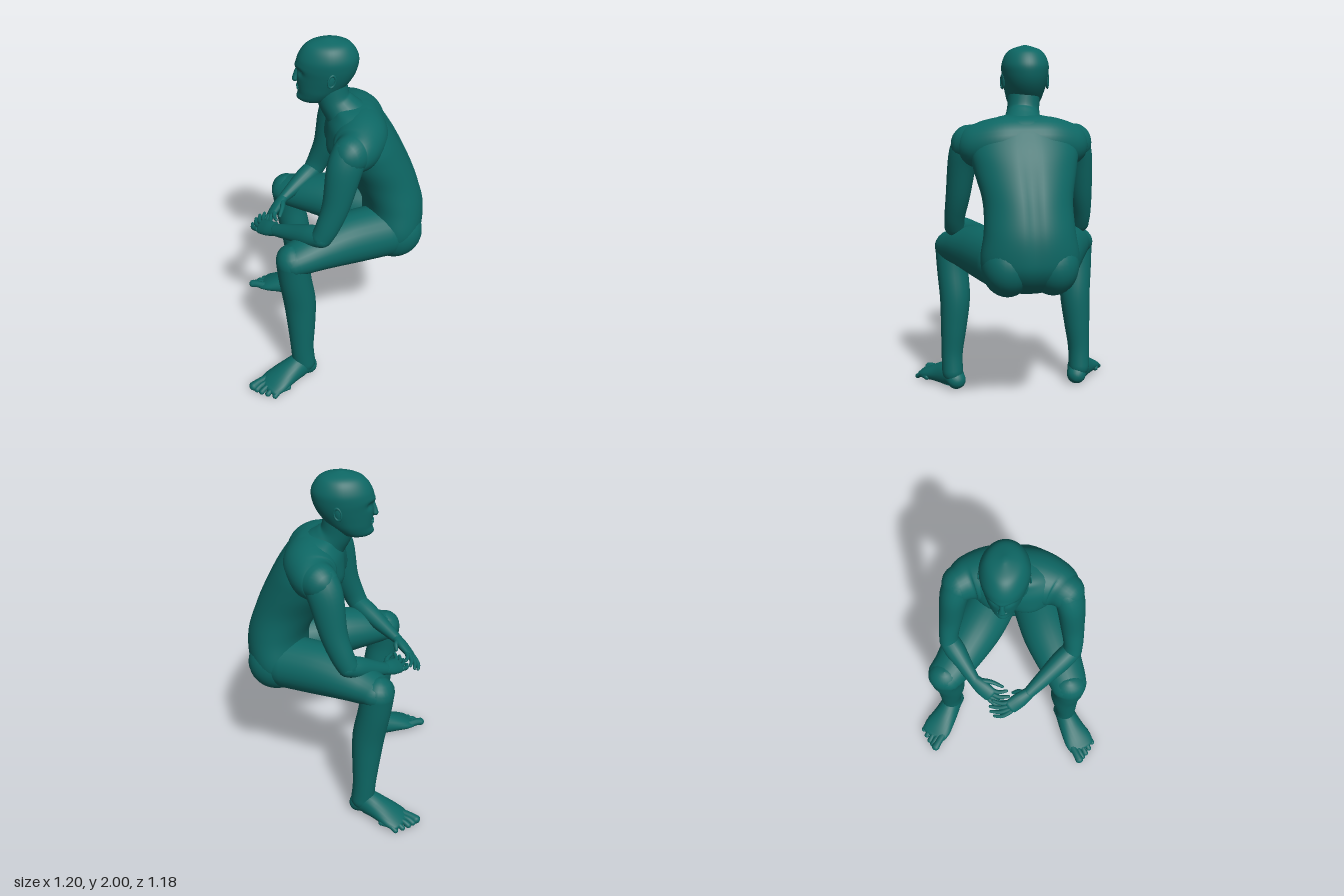
import * as THREE from 'three';

const skin = new THREE.MeshStandardMaterial({ color: 0x0d6764 });
const V = (x, y, z) => new THREE.Vector3(x, y, z);
const gauss = (d, w) => Math.exp(-(d * d) / (w * w));

// Closed skin over rings of points (counter-clockwise about the direction of travel)
function skinRings(rings) {
  const n = rings[0].length, pos = [], idx = [];
  rings.forEach(r => r.forEach(p => pos.push(p.x, p.y, p.z)));
  for (let i = 0; i < rings.length - 1; i++) {
    for (let j = 0; j < n; j++) {
      const a = i * n + j, b = i * n + (j + 1) % n;
      idx.push(a, b, a + n, b, b + n, a + n);
    }
  }
  [0, rings.length - 1].forEach((k, end) => {
    const c = rings[k].reduce((s, p) => s.add(p), V(0, 0, 0)).divideScalar(n);
    const ci = pos.length / 3;
    pos.push(c.x, c.y, c.z);
    for (let j = 0; j < n; j++) {
      const a = k * n + j, b = k * n + (j + 1) % n;
      end ? idx.push(a, b, ci) : idx.push(b, a, ci);
    }
  });
  const g = new THREE.BufferGeometry();
  g.setAttribute('position', new THREE.Float32BufferAttribute(pos, 3));
  g.setIndex(idx);
  g.computeVertexNormals();
  return g;
}

// Smooth interpolation of rows of numbers
function sample(rows, t) {
  const f = t * (rows.length - 1), i = Math.min(Math.floor(f), rows.length - 2), u = f - i;
  const row = k => rows[Math.max(0, Math.min(rows.length - 1, k))];
  return rows[0].map((_, c) => {
    const [a, b, d, e] = [row(i - 1)[c], row(i)[c], row(i + 1)[c], row(i + 2)[c]];
    return b + 0.5 * u * (d - a + u * (2 * a - 5 * b + 4 * d - e + u * (3 * (b - d) + e - a)));
  });
}

// Round-ended limb through rows [x, y, z, half width along side, half thickness]
function limb(rows, side = V(1, 0, 0), n = 20, steps = 6) {
  const count = (rows.length - 1) * steps, rings = [];
  const ring = (c, t, a, b) => {
    const u = side.clone().addScaledVector(t, -side.dot(t)).normalize();
    const v = t.clone().cross(u);
    rings.push(Array.from({ length: n }, (_, j) => {
      const f = j / n * Math.PI * 2;
      return c.clone().addScaledVector(u, a * Math.cos(f)).addScaledVector(v, b * Math.sin(f));
    }));
  };
  for (let i = 0; i <= count; i++) {
    const s = sample(rows, i / count), c = V(s[0], s[1], s[2]);
    const p = sample(rows, Math.max(0, i - 0.5) / count), q = sample(rows, Math.min(count, i + 0.5) / count);
    const t = V(q[0] - p[0], q[1] - p[1], q[2] - p[2]).normalize();
    const cap = (k, sign) => {
      const h = k * Math.PI / 10, r = Math.min(s[3], s[4]);
      ring(c.clone().addScaledVector(t, sign * r * Math.sin(h)), t, s[3] * Math.cos(h) + 1e-4, s[4] * Math.cos(h) + 1e-4);
    };
    if (i === 0) for (let k = 5; k > 0; k--) cap(k, -1);
    ring(c, t, s[3], s[4]);
    if (i === count) for (let k = 1; k <= 5; k++) cap(k, 1);
  }
  return skinRings(rings);
}

// Upright body from rows [y, centre z, half width, half depth], with a shaping rule
function upright(rows, n, count, shape) {
  return skinRings(Array.from({ length: count + 1 }, (_, i) => {
    const [y, c, w, d] = sample(rows, i / count);
    return Array.from({ length: n }, (_, j) => {
      const f = j / n * Math.PI * 2;
      const p = V(w * Math.cos(f), y, c - d * Math.sin(f));
      shape(p, -Math.sin(f));
      return p;
    });
  }));
}

function add(parent, name, geometry) {
  const m = new THREE.Mesh(geometry, skin);
  m.name = name;
  parent.add(m);
  return m;
}

function ball(parent, name, p, s) {
  const m = add(parent, name, new THREE.SphereGeometry(1, 28, 20));
  m.position.set(...p);
  m.scale.set(...s);
}

function addHead(body) {
  const head = new THREE.Group();
  head.name = 'head';
  head.position.x = -0.033;
  body.add(head);
  add(head, 'skull', upright([
    [1.638, -0.045, 0.03, 0.04], [1.655, -0.06, 0.066, 0.085], [1.70, -0.085, 0.093, 0.115],
    [1.75, -0.105, 0.108, 0.14], [1.80, -0.119, 0.12, 0.157], [1.85, -0.125, 0.128, 0.167],
    [1.90, -0.13, 0.128, 0.163], [1.95, -0.132, 0.108, 0.135], [1.98, -0.134, 0.074, 0.095], [2.0, -0.135, 0.01, 0.015]
  ], 48, 54, (p, front) => {
    if (front <= 0) return;
    p.x *= 1 - 0.1 * front;
    p.z -= 0.016 * gauss(Math.abs(p.x) - 0.04, 0.024) * gauss(p.y - 1.825, 0.02); // eye sockets
    p.z += 0.006 * gauss(p.x, 0.06) * gauss(p.y - 1.852, 0.014); // brow
    p.z += 0.01 * gauss(p.x, 0.03) * gauss(p.y - 1.67, 0.02); // chin
  }));
  add(head, 'nose', limb([[0, 1.835, 0.03, 0.011, 0.011], [0, 1.80, 0.04, 0.013, 0.014], [0, 1.772, 0.046, 0.02, 0.016]], V(1, 0, 0), 14));
  ball(head, 'upperLip', [0, 1.731, 0.028], [0.028, 0.008, 0.012]);
  ball(head, 'lowerLip', [0, 1.717, 0.026], [0.024, 0.008, 0.012]);
  for (const s of [1, -1]) {
    ball(head, 'eye', [s * 0.04, 1.825, 0], [0.017, 0.013, 0.015]);
    const ear = new THREE.Group();
    ear.name = 'ear';
    ear.position.set(s * 0.121, 1.805, -0.14);
    ear.rotation.set(-0.15, s * 0.3, 0);
    head.add(ear);
    ball(ear, 'earBowl', [0, 0, 0], [0.008, 0.036, 0.021]);
    const rim = add(ear, 'earRim', new THREE.TorusGeometry(0.021, 0.005, 8, 24));
    rim.rotation.y = Math.PI / 2;
    rim.scale.y = 1.6;
    rim.position.x = s * 0.005;
  }
}

// Leg; out and fore shift the shin and foot, knee brings the knee forward, turn swings the foot
function addLeg(body, s, side, out, fore, knee, turn) {
  const P = rows => rows.map(([x, ...r]) => [s * x, ...r]);
  const shin = [
    [0.358, 0.85, 0.075, 0.1, 0.092], [0.36, 0.72, 0.063, 0.091, 0.092], [0.35, 0.55, 0.039, 0.088, 0.092],
    [0.36, 0.38, 0.032, 0.076, 0.08], [0.372, 0.22, 0.03, 0.063, 0.067], [0.372, 0.1, 0.02, 0.062, 0.068]
  ].map(([x, y, z, a, b], i) => [x + out, y, z + fore + knee * Math.max(0, 1 - i / 4), a, b]);
  add(body, side + 'Thigh', limb(P([
    [0.125, 0.875, -0.45, 0.155, 0.155], [0.2, 0.88, -0.25, 0.152, 0.148], [0.27, 0.875, -0.1, 0.138, 0.125],
    [0.33, 0.86, 0.02, 0.118, 0.1], [shin[0][0], 0.85, shin[0][2], 0.106, 0.086]]), V(1, 0, 0), 28));
  add(body, side + 'LowerLeg', limb(P(shin), V(1, 0, 0), 24));

  const foot = new THREE.Group();
  foot.name = side + 'Foot';
  foot.position.set(s * (0.36 + out), 0, fore);
  foot.rotation.y = turn;
  body.add(foot);
  const across = V(s * 0.83, 0, -0.55);
  add(foot, 'footBody', limb(P([
    [-0.008, 0.055, -0.005, 0.056, 0.053], [0.018, 0.08, 0.04, 0.064, 0.078], [0.062, 0.065, 0.115, 0.078, 0.063],
    [0.112, 0.043, 0.19, 0.092, 0.041], [0.142, 0.028, 0.235, 0.085, 0.025]]), across, 24));
  for (let i = 0; i < 5; i++) {
    const k = i / 4, r = i ? 0.02 - 0.001 * i : 0.027;
    const x = 0.132 + 0.078 * k, z = 0.325 - 0.125 * k + 0.015 * Math.sin(k * Math.PI);
    add(foot, 'toe', limb(P([
      [x - 0.05, 0.034, z - 0.08, r, r], [x - 0.02, 0.034, z - 0.03, r * 0.85, r * 0.85], [x, r, z, r, r * 0.9]]), across, 12, 4));
  }
}

function addArm(body, s, side, wrist, knuckle, tip, thumbTip) {
  const W = V(...wrist), K = V(...knuckle), T = V(...tip);
  const up = V(0, 0.66, -0.75); // from little finger towards the thumb
  const elbow = V(s * 0.358, 1.0, -0.078), at = k => elbow.clone().lerp(W, k).toArray();
  add(body, side + 'UpperArm', limb([
    [s * 0.288, 1.485, -0.228, 0.085, 0.098], [s * 0.318, 1.40, -0.195, 0.08, 0.097], [s * 0.342, 1.2, -0.155, 0.068, 0.077],
    [s * 0.358, 1.07, -0.11, 0.058, 0.066], [...elbow.toArray(), 0.056, 0.06]], V(1, 0, 0), 24));
  add(body, side + 'Forearm', limb([
    [...at(0), 0.058, 0.056], [...at(0.25), 0.062, 0.058], [...at(0.6), 0.05, 0.046], [...at(1), 0.036, 0.029]], up, 20));
  const mid = W.clone().lerp(K, 0.5).toArray();
  add(body, side + 'Palm', limb([[...wrist, 0.036, 0.028], [...mid, 0.047, 0.028], [...knuckle, 0.046, 0.021]], up, 20));
  for (let i = 0; i < 4; i++) {
    const o = 0.033 - 0.022 * i, reach = [0.92, 1.05, 1, 0.8][i];
    const a = K.clone().addScaledVector(up, o);
    const c = K.clone().lerp(T, reach).addScaledVector(up, o * 1.5);
    const b = a.clone().lerp(c, 0.5).add(V(0, -0.006, 0.012));
    add(body, side + 'Finger', limb([[...a.toArray(), 0.014, 0.015], [...b.toArray(), 0.0125, 0.013], [...c.toArray(), 0.009, 0.009]], up, 12, 4));
  }
  const root = W.clone().lerp(K, 0.3).addScaledVector(up, 0.02), tt = V(...thumbTip);
  const bend = root.clone().lerp(tt, 0.5).addScaledVector(up, 0.012);
  add(body, side + 'Thumb', limb([[...root.toArray(), 0.02, 0.019], [...bend.toArray(), 0.015, 0.014], [...tt.toArray(), 0.01, 0.009]], V(0.2, 0.8, 0.5), 12, 4));
}

export function createModel() {
  const model = new THREE.Group();
  model.name = 'seatedFigure';
  // The body is laid out facing +z and then turned
  const body = new THREE.Group();
  body.name = 'body';
  body.rotation.y = Math.PI * 1.25;
  model.add(body);

  add(body, 'torso', upright([
    [0.72, -0.48, 0.1, 0.07], [0.765, -0.49, 0.205, 0.13], [0.84, -0.505, 0.252, 0.168], [0.92, -0.515, 0.262, 0.174],
    [1.05, -0.505, 0.242, 0.176], [1.2, -0.44, 0.24, 0.192], [1.35, -0.355, 0.276, 0.206], [1.45, -0.315, 0.292, 0.192],
    [1.53, -0.29, 0.275, 0.165], [1.59, -0.28, 0.21, 0.13], [1.625, -0.265, 0.13, 0.095], [1.637, -0.25, 0.04, 0.03]
  ], 56, 60, (p, front) => {
    if (front < 0) p.z += 0.018 * gauss(p.x, 0.035) * gauss(p.y - 1.2, 0.3); // spine
    else {
      p.z += 0.022 * gauss(Math.abs(p.x) - 0.11, 0.08) * gauss(p.y - 1.4, 0.07); // chest
      p.z -= 0.01 * gauss(p.x, 0.02) * gauss(p.y - 1.35, 0.15);
    }
  }));
  // Shoulder girdle joining both arms across the upper back
  const half = [[0.285, 1.478, -0.23, 0.105, 0.1], [0.23, 1.475, -0.268, 0.125, 0.128], [0.12, 1.488, -0.298, 0.14, 0.15]];
  const mirrored = half.map(([x, ...r]) => [-x, ...r]).reverse();
  add(body, 'shoulders', limb([...half, [0, 1.49, -0.305, 0.142, 0.145], ...mirrored], V(0, 1, 0), 32));
  add(body, 'neck', limb([
    [0, 1.54, -0.25, 0.14, 0.12], [-0.01, 1.6, -0.2, 0.103, 0.1], [-0.018, 1.65, -0.165, 0.089, 0.09],
    [-0.026, 1.73, -0.14, 0.088, 0.096]], V(1, 0, 0), 24));
  addHead(body);

  for (const [s, side] of [[1, 'left'], [-1, 'right']]) {
    ball(body, side + 'Buttock', [s * 0.122, 0.866, -0.515], [0.138, 0.163, 0.16]);
  }
  addLeg(body, 1, 'left', 0, 0, 0.008, 0);
  addLeg(body, -1, 'right', 0.016, -0.018, 0.03, 0.12);
  addArm(body, 1, 'left', [0.127, 0.895, 0.17], [0.03, 0.855, 0.248], [-0.085, 0.84, 0.268], [0.035, 0.875, 0.17]);
  addArm(body, -1, 'right', [-0.2, 0.895, 0.115], [-0.1, 0.855, 0.185], [0.005, 0.84, 0.2], [-0.03, 0.88, 0.14]);
  return model;
}
